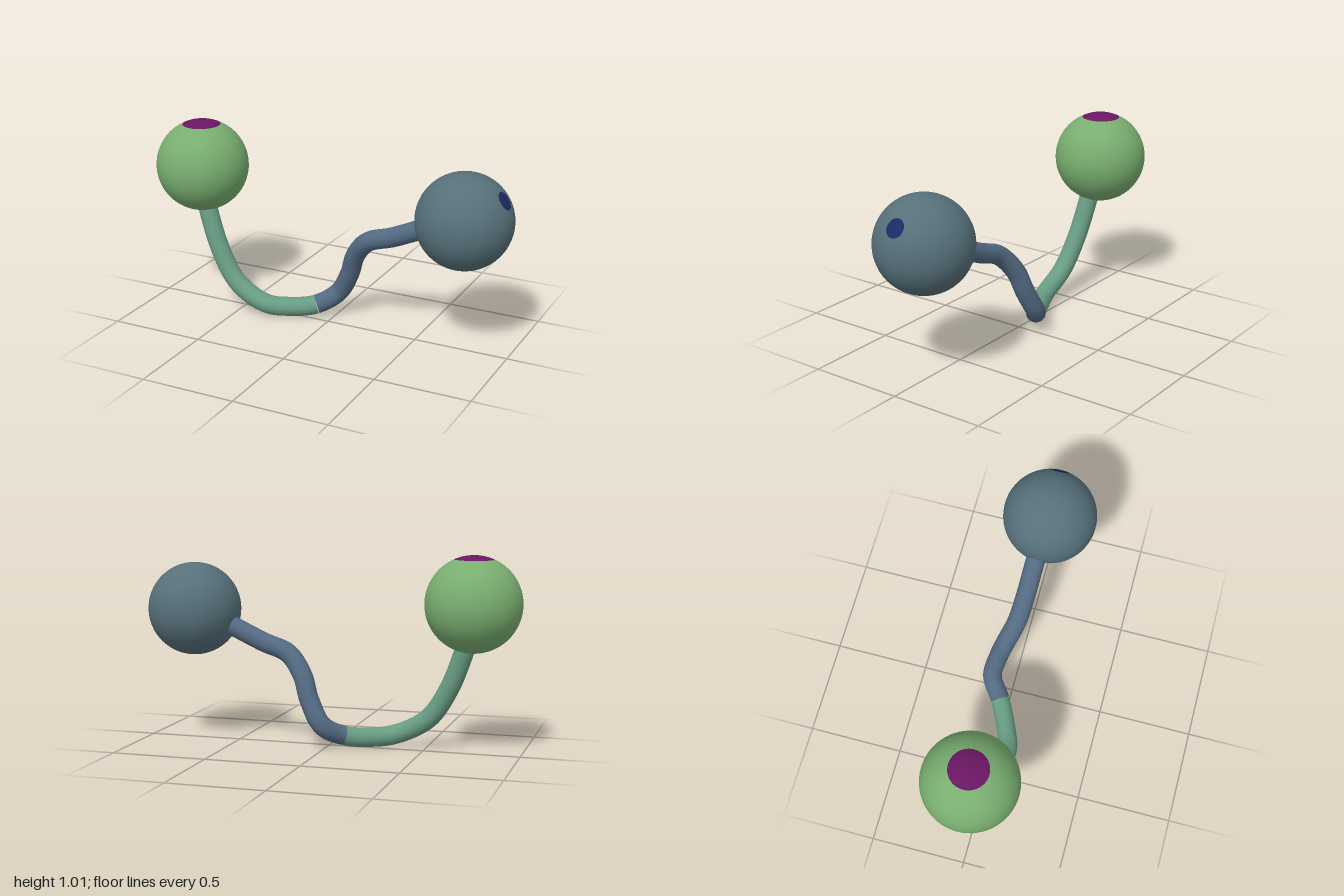
import * as THREE from 'three';

const BALL_RADIUS = 0.246;
const CORD_RADIUS = 0.051;

function mesh(name, geometry, color) {
  const m = new THREE.Mesh(geometry, new THREE.MeshStandardMaterial({ color }));
  m.name = name;
  return m;
}

// Ball whose pole carries a differently coloured cap
function ball(name, center, pole, capAngle, color, capColor) {
  const g = new THREE.Group();
  g.name = name;
  g.add(
    mesh(name + 'Cap', new THREE.SphereGeometry(BALL_RADIUS, 64, 8, 0, Math.PI * 2, 0, capAngle), capColor),
    mesh(name + 'Body', new THREE.SphereGeometry(BALL_RADIUS, 64, 40, 0, Math.PI * 2, capAngle, Math.PI - capAngle), color)
  );
  g.position.set(...center);
  g.quaternion.setFromUnitVectors(new THREE.Vector3(0, 1, 0), new THREE.Vector3(...pole).normalize());
  return g;
}

// Stretch of cord following a run of centreline points
function cord(name, points, color) {
  const path = new THREE.CatmullRomCurve3(points);
  return mesh(name, new THREE.TubeGeometry(path, 90, CORD_RADIUS, 24), color);
}

export function createModel() {
  const model = new THREE.Group();
  model.name = 'linkedBalls';

  model.add(
    ball('rightBall', [-0.754, 0.77, -0.009], [0, 1, 0], 0.42, 0x79ae70, 0x6a1763),
    ball('leftBall', [0.75, 0.70, 0.005], [0.83, 0.56, 0], 0.2, 0x56707a, 0x1c2a66)
  );

  // Sagging centreline from ball to ball; the colour changes at the seam
  const centreline = new THREE.CatmullRomCurve3([
    [-0.74, 0.66, 0.015], [-0.70, 0.52, 0.03], [-0.62, 0.32, 0.05], [-0.51, 0.16, 0.066],
    [-0.34, 0.07, 0.066], [-0.22, 0.056, 0.02], [-0.09, 0.07, -0.045], [0.005, 0.13, -0.113],
    [0.08, 0.26, -0.098], [0.125, 0.38, -0.07], [0.215, 0.485, -0.032], [0.355, 0.538, -0.02],
    [0.515, 0.61, -0.014], [0.62, 0.66, -0.005],
  ].map((p) => new THREE.Vector3(...p)));
  const points = centreline.getPoints(78);
  const seam = 36;
  model.add(
    cord('rightCord', points.slice(0, seam + 1), 0x689c84),
    cord('leftCord', points.slice(seam), 0x536a82)
  );
  return model;
}
